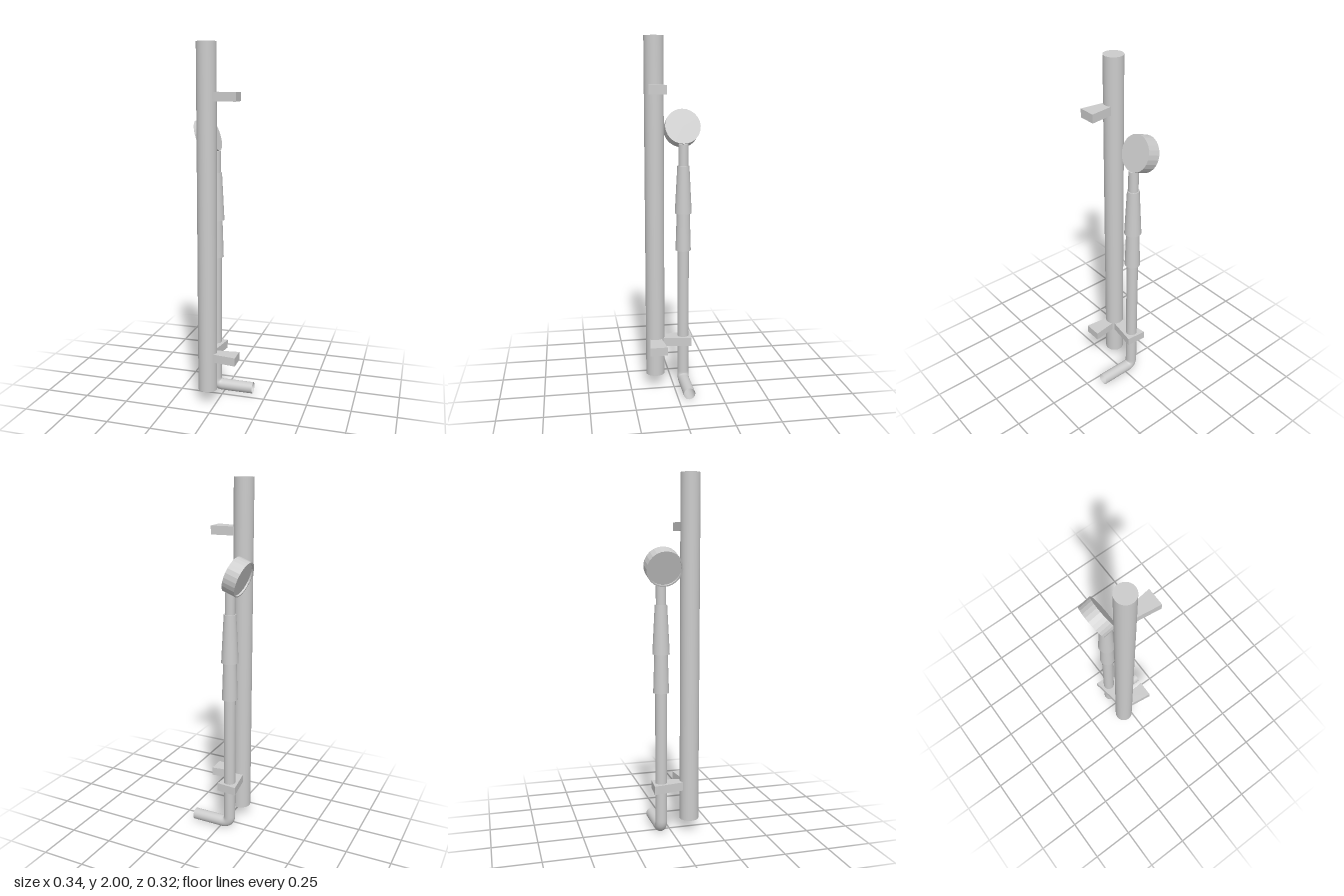
import * as THREE from 'three';

const grey = new THREE.MeshStandardMaterial({ color: 0xcccccc });
const greyFlat = new THREE.MeshStandardMaterial({ color: 0xcccccc, flatShading: true });
const greyOpen = new THREE.MeshStandardMaterial({ color: 0xcccccc, side: THREE.DoubleSide });

const HOSE = { x: -0.055, z: -0.061, r: 0.033 };

export function createModel() {
  const group = new THREE.Group();
  const add = (name, geometry, material, x = 0, y = 0, z = 0) => {
    const mesh = new THREE.Mesh(geometry, material);
    mesh.name = name;
    mesh.position.set(x, y, z);
    group.add(mesh);
    return mesh;
  };

  // Upright cylinder or taper between two heights
  const taper = (name, x, z, y0, y1, r0, r1) =>
    add(name, new THREE.CylinderGeometry(r1, r0, y1 - y0, 32), grey, x, (y0 + y1) / 2, z);

  // Flat plate from a plan outline of [x, z] corners
  const plate = (name, corners, y, height) => {
    const shape = new THREE.Shape(corners.map(([x, z]) => new THREE.Vector2(x, -z)));
    const geometry = new THREE.ExtrudeGeometry(shape, { depth: height, bevelEnabled: false });
    geometry.rotateX(-Math.PI / 2);
    add(name, geometry, grey, 0, y, 0);
  };

  // Main pole
  taper('pole', -0.055, 0.103, 0.075, 2, 0.054, 0.054);

  // Wall brackets, flaring away from the pole
  const wall = [[-0.012, 0.071], [-0.012, 0.135], [0.118, 0.152], [0.118, 0.055]];
  plate('upperWallBracket', wall, 1.696, 0.048);
  plate('lowerWallBracket', wall, 0.25, 0.048);

  // Bracket that holds the hose
  plate('hoseBracket', [[-0.085, 0.06], [-0.022, 0.06], [0.003, -0.103], [-0.113, -0.113]], 0.25, 0.048);

  // Hose with a bent outlet
  const { x, z, r } = HOSE;
  const bend = 0.045;
  const path = new THREE.CurvePath();
  const p = (px, py) => new THREE.Vector3(px, py, z);
  path.add(new THREE.LineCurve3(p(x, 0.83), p(x, r + bend)));
  path.add(new THREE.QuadraticBezierCurve3(p(x, r + bend), p(x, r), p(x + bend, r)));
  path.add(new THREE.LineCurve3(p(x + bend, r), p(0.171, r)));
  add('hose', new THREE.TubeGeometry(path, 120, r, 24), greyOpen);

  // Two-part grip and neck
  taper('lowerGrip', x, z, 0.815, 1.03, 0.044, 0.037);
  taper('upperGrip', x, z, 1.03, 1.3, 0.048, 0.034);
  taper('neck', x, z, 1.29, 1.42, 0.028, 0.028);

  // Tilted round head with a shallow recessed face
  const t = 0.038;
  const profile = [[0, -t + 0.01], [0.092, -t + 0.01], [0.092, -t], [0.1, -t], [0.1, t], [0, t]]
    .map(([px, py]) => new THREE.Vector2(px, py));
  const head = add('head', new THREE.LatheGeometry(profile, 24), greyFlat, -0.1, 1.504, -0.06);
  head.rotation.z = -THREE.MathUtils.degToRad(70);

  return group;
}
